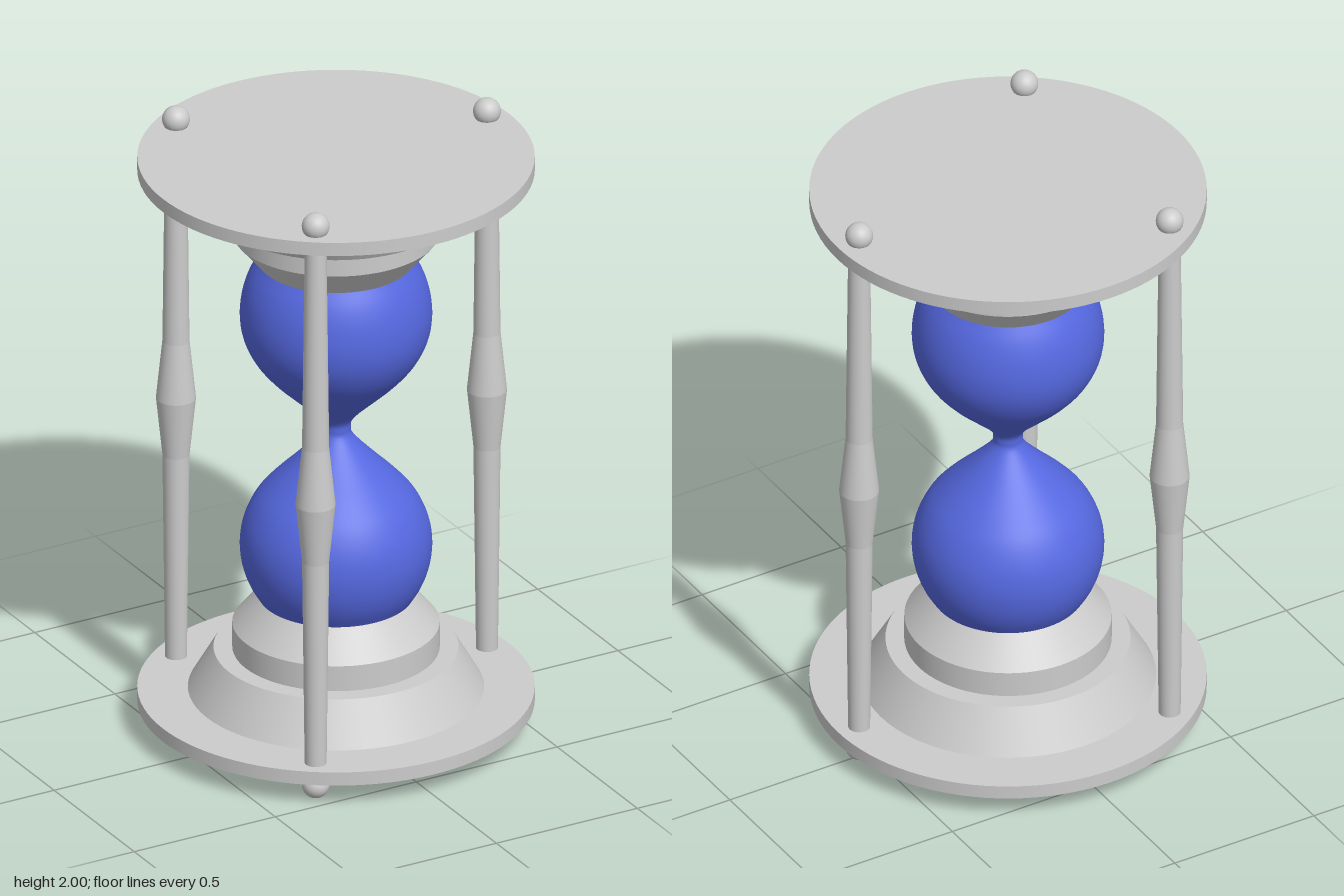
import * as THREE from 'three';
import { mergeGeometries } from 'three/addons/utils/BufferGeometryUtils.js';

const grey = new THREE.MeshStandardMaterial({ color: 0xcccccc });
const blue = new THREE.MeshStandardMaterial({ color: 0x5568e0 });

// Stack of cylinders and cones from [radius, y] points, bottom to top, with crisp joints
function turned(points, segments, capped) {
  const sections = [];
  for (let i = 0; i < points.length - 1; i++) {
    const [r0, y0] = points[i], [r1, y1] = points[i + 1];
    if (y1 - y0 < 1e-4) continue;
    const g = new THREE.CylinderGeometry(r1, r0, y1 - y0, segments, 1, !capped);
    sections.push(g.translate(0, (y0 + y1) / 2, 0));
  }
  return mergeGeometries(sections);
}

function addMesh(parent, name, geometry, material = grey) {
  const mesh = new THREE.Mesh(geometry, material);
  mesh.name = name;
  parent.add(mesh);
  return mesh;
}

export function createModel() {
  const model = new THREE.Group();
  model.name = 'hourglass';

  // End plates with their stepped collars
  addMesh(model, 'bottomPlate', turned([[0.613, 0.075], [0.613, 0.12]], 96, true));
  addMesh(model, 'bottomBase', turned([[0.457, 0.12], [0.378, 0.257]], 72, true));
  addMesh(model, 'bottomCollar', turned([[0.32, 0.257], [0.32, 0.342], [0.24, 0.437]], 72, true));
  addMesh(model, 'topPlate', turned([[0.613, 1.889], [0.613, 1.934]], 96, true));
  addMesh(model, 'topBase', turned([[0.378, 1.761], [0.452, 1.889]], 72, true));
  addMesh(model, 'topCollar', turned([[0.24, 1.582], [0.32, 1.677], [0.32, 1.761]], 72, true));

  // Glass: two bulbs joined by a narrow neck
  const profile = new THREE.SplineCurve([
    [0.24, 0.437], [0.268, 0.485], [0.289, 0.545], [0.297, 0.616], [0.286, 0.69],
    [0.252, 0.765], [0.2, 0.828], [0.14, 0.888], [0.08, 0.95], [0.05, 0.988],
    [0.046, 1.01], [0.05, 1.035], [0.08, 1.072], [0.14, 1.128], [0.2, 1.186],
    [0.252, 1.25], [0.286, 1.322], [0.297, 1.396], [0.289, 1.47], [0.268, 1.533], [0.24, 1.582],
  ].map(([r, y]) => new THREE.Vector2(r, y)));
  addMesh(model, 'glass', new THREE.LatheGeometry(profile.getPoints(80), 72), blue);

  // Three turned posts, each with a ball at both ends
  const postShape = turned(
    [[0.034, 0.12], [0.042, 0.81], [0.062, 1.005], [0.042, 1.2], [0.034, 1.889]], 32, false);
  const ball = new THREE.SphereGeometry(0.043, 32, 20);
  [[0.54, -0.008], [-0.322, -0.432], [-0.322, 0.439]].forEach(([x, z], i) => {
    const post = new THREE.Group();
    post.name = `post${i + 1}`;
    post.position.set(x, 0, z);
    addMesh(post, 'spindle', postShape);
    addMesh(post, 'footBall', ball).position.y = 0.045;
    addMesh(post, 'topBall', ball).position.y = 1.957;
    model.add(post);
  });

  return model;
}
